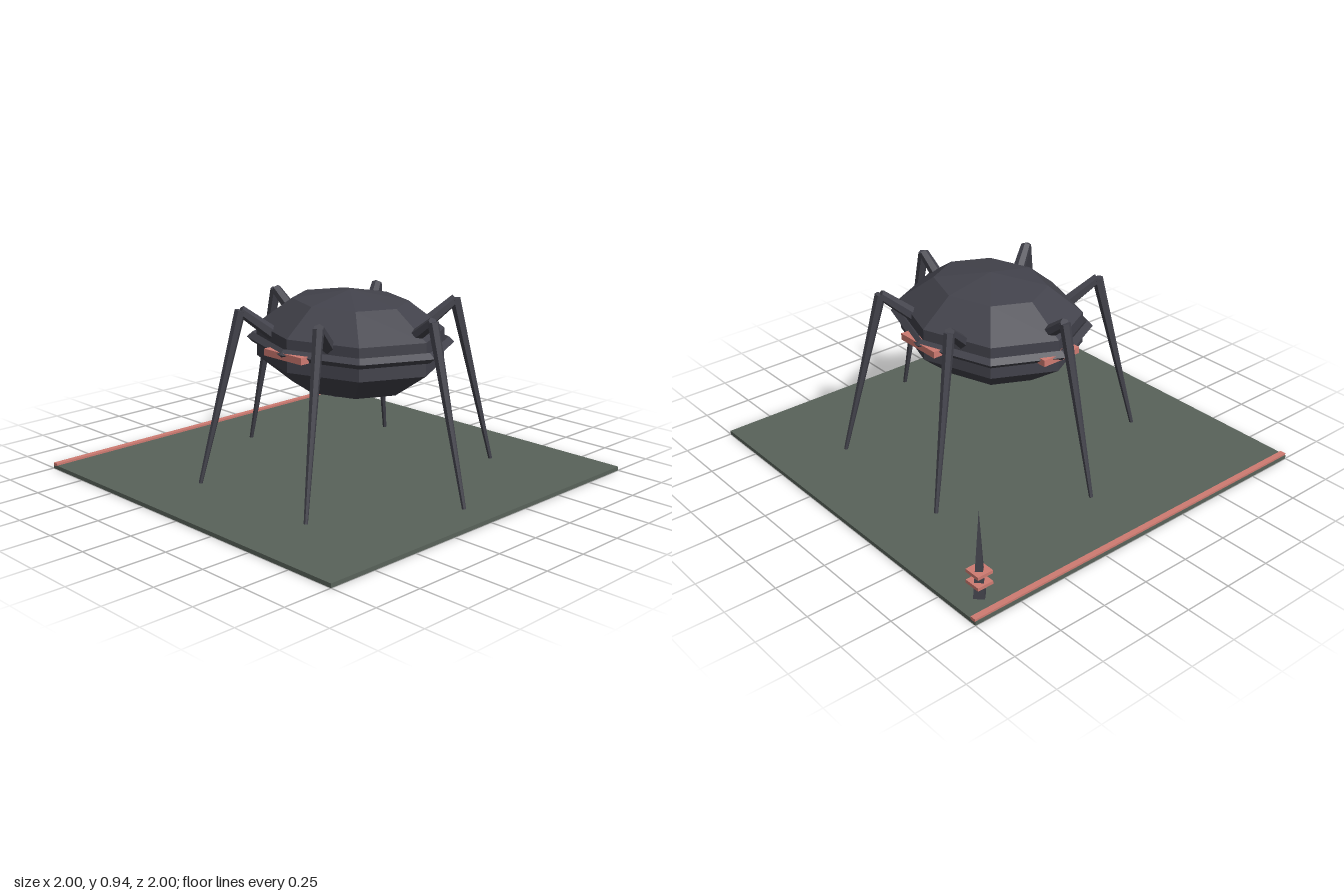
import * as THREE from 'three';

export function createModel() {
  const model = new THREE.Group();
  const material = (name, color) => {
    const m = new THREE.MeshStandardMaterial({ color, flatShading: true });
    m.name = name;
    return m;
  };
  const darkMetal = material('darkMetal', 0x43434c);
  const ground = material('mossGround', 0x59635a);
  const red = material('paleRed', 0xcf7b72);

  const add = (name, geometry, mat, x = 0, y = 0, z = 0, parent = model) => {
    const mesh = new THREE.Mesh(geometry, mat);
    mesh.name = name;
    mesh.position.set(x, y, z);
    parent.add(mesh);
    return mesh;
  };
  const box = (name, mat, size, pos) => add(name, new THREE.BoxGeometry(...size), mat, ...pos);

  // Tapered bar running from a to b
  const bar = (name, a, b, ra, rb, parent) => {
    const dir = b.clone().sub(a);
    const mesh = add(name, new THREE.CylinderGeometry(rb, ra, dir.length(), 6), darkMetal, 0, 0, 0, parent);
    mesh.position.copy(a).add(b).multiplyScalar(0.5);
    mesh.quaternion.setFromUnitVectors(new THREE.Vector3(0, 1, 0), dir.normalize());
  };

  // Ground slab with a strip along its back edge
  box('groundSlab', ground, [2, 0.02, 2], [0, 0.01, 0]);
  box('edgeStrip', red, [2, 0.015, 0.03], [0, 0.0225, -0.983]);

  // Faceted hull and the sharp rim around it
  const cz = 0.1;
  const hull = new THREE.SphereGeometry(1, 8, 5).scale(0.431, 0.257, 0.52);
  add('hull', hull, darkMetal, 0, 0.678, cz);
  const rim = new THREE.TorusGeometry(0.43, 0.025, 4, 8).rotateX(Math.PI / 2).scale(1, 1, 1.2);
  add('rim', rim, darkMetal, 0, 0.69, cz);

  // Lights on both sides and at the back
  for (const s of [-1, 1]) box('sideLight', red, [0.05, 0.033, 0.255], [s * 0.418, 0.682, 0.105]);
  box('backLight', red, [0.215, 0.033, 0.05], [0, 0.682, -0.392]);

  // Six bent legs spread evenly around the hull
  for (let i = 0; i < 6; i++) {
    const leg = new THREE.Group();
    leg.name = 'leg';
    leg.position.z = cz;
    leg.rotation.y = (i * Math.PI) / 3;
    const hip = new THREE.Vector3(0, 0.735, 0.37);
    const knee = new THREE.Vector3(0, 0.86, 0.532);
    const foot = new THREE.Vector3(0, 0.02, 0.742);
    bar('upperLeg', hip, knee, 0.034, 0.026, leg);
    bar('lowerLeg', knee, foot, 0.027, 0.01, leg);
    model.add(leg);
  }

  // Corner spire with two square collars
  add('spire', new THREE.ConeGeometry(0.036, 0.44, 4), darkMetal, 0.877, 0.24, -0.877);
  for (const y of [0.094, 0.15]) box('spireCollar', red, [0.083, 0.016, 0.083], [0.877, y, -0.877]);

  return model;
}
